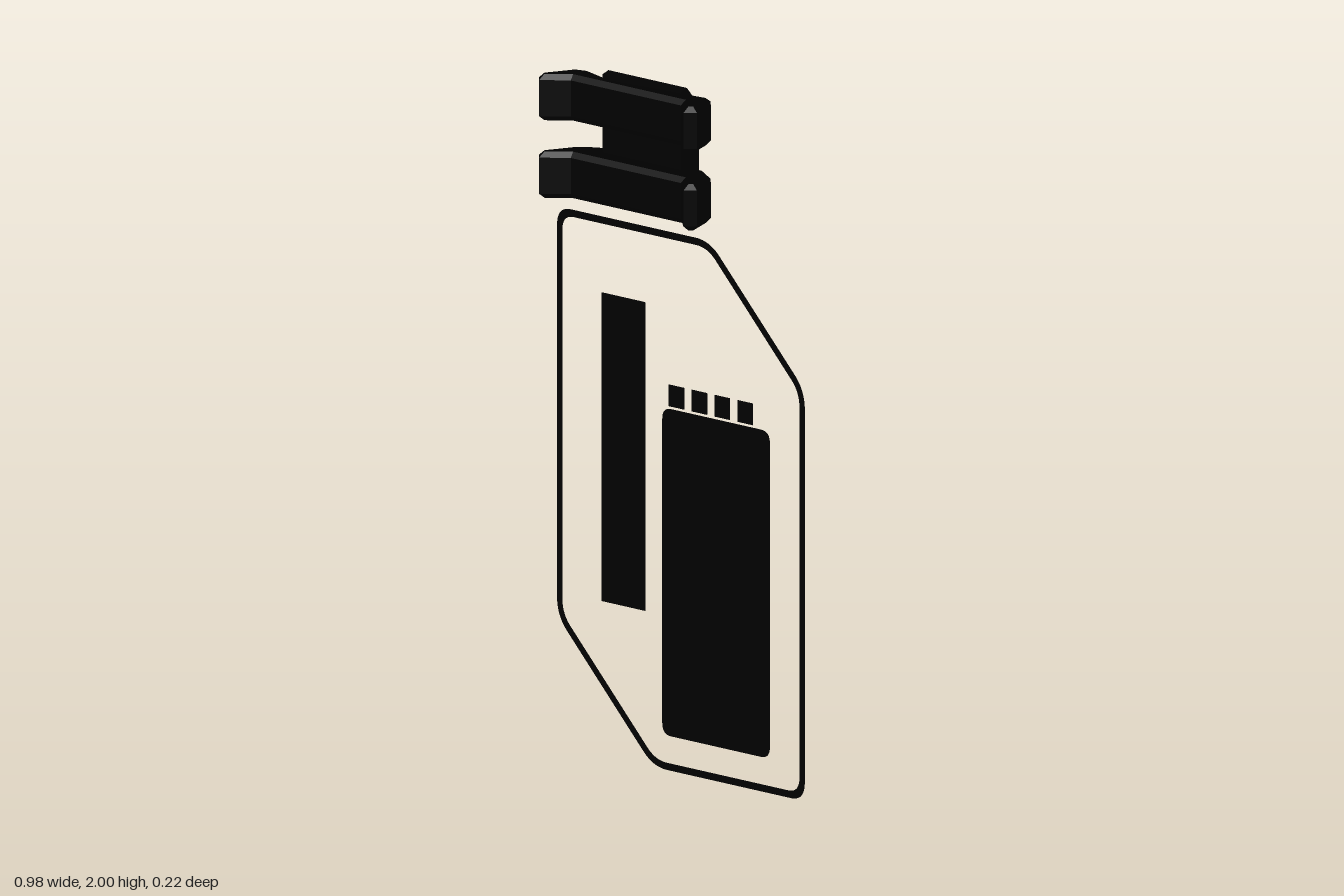
import * as THREE from 'three';
import { toCreasedNormals } from 'three/addons/utils/BufferGeometryUtils.js';

const black = new THREE.MeshStandardMaterial({ color: 0x000000, side: THREE.DoubleSide });
black.name = 'black';

function add(group, name, geometry) {
  const mesh = new THREE.Mesh(geometry, black);
  mesh.name = name;
  group.add(mesh);
  return mesh;
}

// Closed polygon whose corners are rounded off at distance r from each corner
function rounded(points, r, Type = THREE.Shape) {
  const path = new Type();
  const pts = points.map(([x, y]) => new THREE.Vector2(x, y));
  pts.forEach((p, i) => {
    const toward = (q) => q.clone().sub(p).setLength(r).add(p);
    const a = toward(pts[(i + pts.length - 1) % pts.length]);
    const b = toward(pts[(i + 1) % pts.length]);
    if (i === 0) path.moveTo(a.x, a.y);
    else path.lineTo(a.x, a.y);
    path.quadraticCurveTo(p.x, p.y, b.x, b.y);
  });
  path.closePath();
  return path;
}

const rect = (x0, y0, x1, y1) => [[x0, y0], [x1, y0], [x1, y1], [x0, y1]];

// Rectangle with two opposite corners cut at 45 degrees, inset by d
function tagOutline(d) {
  const x = 0.489 - d, y0 = d, y1 = 1.577 - d;
  const high = 1.69 - d * 1.414, low = -0.109 + d * 1.414;
  return [[low - y0, y0], [x, y0], [x, high - x], [high - y1, y1], [-x, y1], [-x, low + x]];
}

function createPanel() {
  const panel = new THREE.Group();
  panel.name = 'panel';

  // Flat outline frame
  const border = rounded(tagOutline(0), 0.055);
  border.holes.push(rounded(tagOutline(0.021), 0.045, THREE.Path));
  add(panel, 'border', new THREE.ShapeGeometry(border)).position.z = -0.004;

  // Flat blocks floating just in front: outline and corner radius
  const blocks = [
    ['tallBar', rect(-0.281, 0.462, -0.109, 1.366), 0.001],
    ['largeBlock', rect(-0.042, 0.112, 0.383, 1.07), 0.035],
  ];
  for (let i = 0; i < 4; i++) {
    const x = -0.018 + i * 0.0907;
    blocks.push(['smallSquare', rect(x, 1.077, x + 0.063, 1.141), 0.001]);
  }
  for (const [name, pts, r] of blocks) {
    add(panel, name, new THREE.ShapeGeometry(rounded(pts, r))).position.z = 0.029;
  }
  return panel;
}

function createClip() {
  const clip = new THREE.Group();
  clip.name = 'clip';
  clip.position.set(-0.158, 1.809, 0);

  // Half outline of a curved arm seen from above, as [x, z], mirrored in x
  const half = [[0.148, -0.069], [0.208, -0.058], [0.243, -0.037],
    [0.27, -0.01], [0.311, 0.09], [0.285, 0.117], [0.217, 0.058]];
  const outline = [...half, ...half.map(([x, z]) => [-x, z]).reverse()];
  const shape = new THREE.Shape(outline.map(([x, z]) => new THREE.Vector2(x, -z)));
  const height = 0.136, bevel = 0.015;
  const arm = new THREE.ExtrudeGeometry(shape, {
    depth: height - 2 * bevel, bevelEnabled: true, bevelSegments: 1,
    bevelThickness: bevel, bevelSize: bevel, bevelOffset: -bevel,
  });
  arm.translate(0, 0, bevel - height / 2).rotateX(-Math.PI / 2);

  // Slope the outer edge of the arm down toward the back
  const a = arm.attributes.position;
  for (let i = 0; i < a.count; i++) {
    const limit = height / 2 - Math.max(0, -0.02 - a.getZ(i)) * 0.9;
    a.setY(i, Math.min(a.getY(i), limit));
  }
  const armGeometry = toCreasedNormals(arm, 0.4);
  add(clip, 'upperArm', armGeometry).position.y = 0.113;
  const lower = add(clip, 'lowerArm', armGeometry);
  lower.position.y = -0.114;
  lower.rotation.z = Math.PI;

  // Centre bridge, tapering toward the back
  const bridge = new THREE.BoxGeometry(0.31, 0.382, 0.1, 1, 1, 2);
  const p = bridge.attributes.position;
  for (let i = 0; i < p.count; i++) {
    const z = p.getZ(i);
    if (z < -0.01) p.setXYZ(i, p.getX(i) * 0.89, p.getY(i) * 0.66, -0.099);
    else if (z > 0.01) p.setXYZ(i, p.getX(i), p.getY(i) * 0.96, -0.008);
    else p.setZ(i, -0.032);
  }
  add(clip, 'bridge', toCreasedNormals(bridge, 0.3));
  return clip;
}

export function createModel() {
  const model = new THREE.Group();
  model.name = 'hangTag';
  model.add(createPanel(), createClip());
  return model;
}
